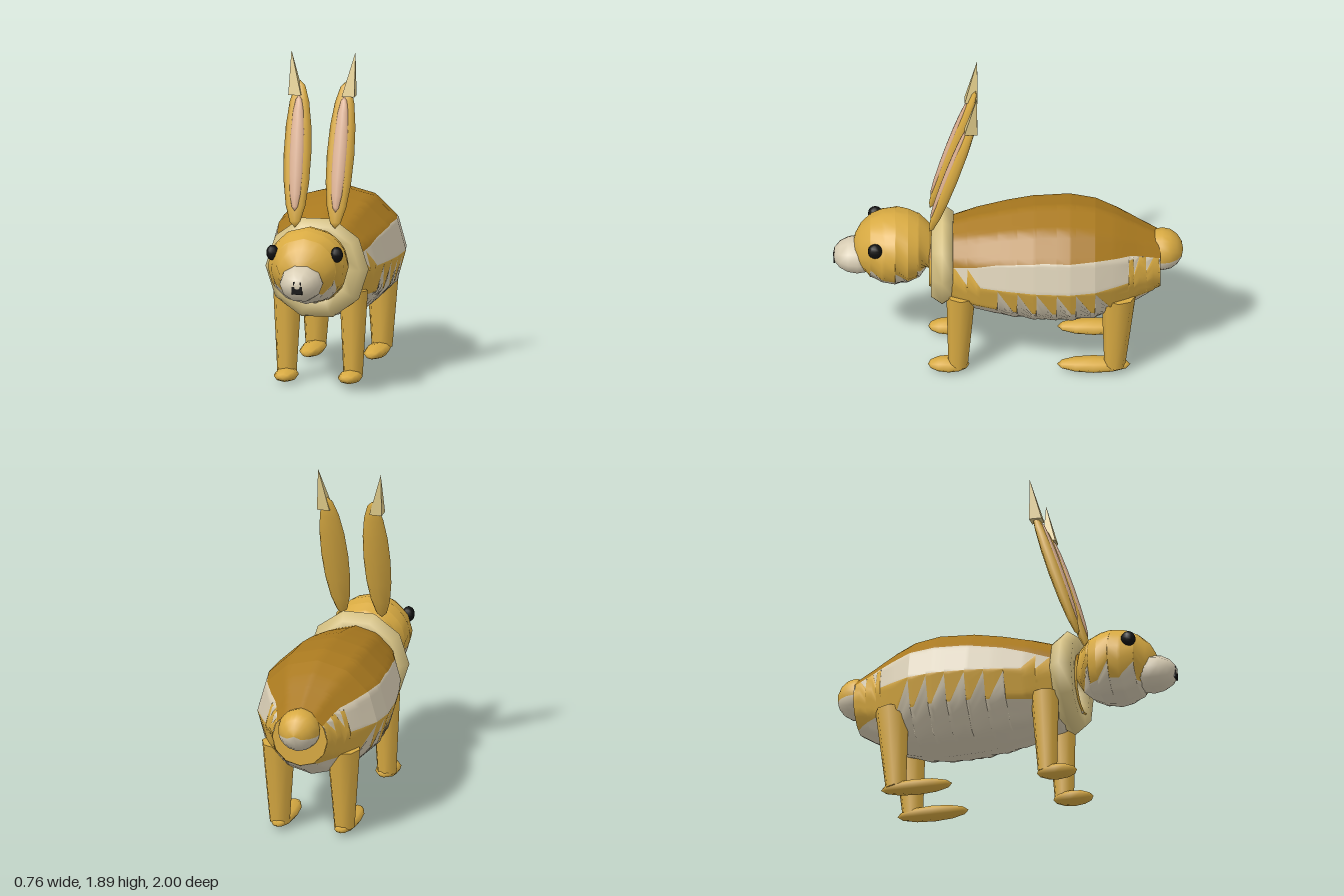
import * as THREE from 'three';

const mat = (name, color) => {
  const m = new THREE.MeshStandardMaterial({ color });
  m.name = name;
  return m;
};

// Linear lookup in rows sorted by z: [z, value, value, ...]
function sample(rows, z) {
  if (z <= rows[0][0]) return rows[0].slice(1);
  for (let i = 1; i < rows.length; i++) {
    if (z <= rows[i][0]) {
      const a = rows[i - 1], b = rows[i];
      const t = (z - a[0]) / (b[0] - a[0]);
      return a.slice(1).map((v, k) => v + (b[k + 1] - v) * t);
    }
  }
  return rows[rows.length - 1].slice(1);
}

// Twelve-sided skin along z. sections: [z, centreY, rx, ry].
// Each boundary curve [z, y] splits the skin into colour bands, top to bottom.
function skin(sections, boundaries, materials, div = 10) {
  const zs = [...new Set([sections, ...boundaries].flat().map(r => r[0]))]
    .filter(z => z >= sections[0][0] && z <= sections[sections.length - 1][0])
    .sort((a, b) => a - b);
  const half = materials.length * div, ring = half * 2, k = Math.PI / 6;
  const pos = [];
  for (const z of zs) {
    const [cy, rx, ry] = sample(sections, z);
    const stops = [0];
    for (const b of boundaries) {
      const c = THREE.MathUtils.clamp((sample(b, z)[0] - cy) / Math.max(ry, 1e-4), -1, 1);
      stops.push(Math.max(stops[stops.length - 1], Math.acos(c)));
    }
    stops.push(Math.PI);
    for (let j = 0; j < ring; j++) {
      const h = j <= half ? j : ring - j;
      const s = Math.min(Math.floor(h / div), materials.length - 1);
      const th = stops[s] + (stops[s + 1] - stops[s]) * (h / div - s);
      const f = Math.cos(k / 2) / Math.cos((th % k) - k / 2);
      pos.push(rx * f * Math.sin(th) * (j <= half ? 1 : -1), cy + ry * f * Math.cos(th), z);
    }
  }
  const geo = new THREE.BufferGeometry();
  const index = [];
  materials.forEach((_, m) => {
    const start = index.length;
    for (let i = 0; i < zs.length - 1; i++) {
      for (let j = 0; j < ring; j++) {
        const h = j < half ? j : ring - 1 - j;
        if (Math.floor(h / div) !== m) continue;
        const a = i * ring + j, c = i * ring + (j + 1) % ring;
        index.push(a, a + ring, c, a + ring, c + ring, c);
      }
    }
    geo.addGroup(start, index.length - start, m);
  });
  geo.setAttribute('position', new THREE.Float32BufferAttribute(pos, 3));
  geo.setIndex(index);
  geo.computeVertexNormals();
  return new THREE.Mesh(geo, materials);
}

// Sections of an ellipsoid
function ballSections(cy, cz, rx, ry, rz, n = 10) {
  return Array.from({ length: n + 1 }, (_, i) => {
    const a = Math.PI * i / n, s = Math.max(Math.sin(a), 0.001);
    return [cz - rz * Math.cos(a), cy, rx * s, ry * s];
  });
}

// Saw teeth as a boundary: low at z0, rising to the tip at z1, then dropping
const teeth = (list, low, tip) =>
  list.flatMap(([z0, z1]) => [[z0, low], [z1, tip], [z1 + 0.003, low]]);

export function createModel() {
  const group = new THREE.Group();
  const gold = mat('gold fur', 0xd8aa42);
  const brown = mat('brown back', 0xa9791f);
  const cream = mat('cream fur', 0xd8cdb4);
  const straw = mat('straw ruff', 0xdac585);
  const pink = mat('pink inner ear', 0xdbaf90);
  const black = mat('black', 0x111111);

  const add = (name, mesh, parent = group) => {
    mesh.name = name;
    parent.add(mesh);
    return mesh;
  };
  const ball = (name, m, p, s, parent = group, w = 10, h = 8) => {
    const mesh = add(name, new THREE.Mesh(new THREE.SphereGeometry(1, w, h), m), parent);
    mesh.position.set(...p);
    mesh.scale.set(...s);
    return mesh;
  };

  // Body with brown back, cream stripe, gold flank and cream belly
  const backEdge = [[-0.87, 0.75], [-0.7, 0.81], [-0.5, 0.84], [-0.2, 0.84], [0.05, 0.81], [0.32, 0.745]];
  const stripeEdge = [
    ...teeth([[-0.868, -0.865], [-0.83, -0.79], [-0.75, -0.72]], 0.79, 0.7).slice(1),
    [-0.692, 0.79], [-0.689, 0.66], [0.155, 0.66], [0.23, 0.76], [0.233, 0.66],
    [0.25, 0.68], [0.312, 0.76], [0.45, 0.76],
  ];
  const bellyEdge = [
    [-0.87, 0.5], [-0.7, 0.51],
    ...teeth([[-0.59, -0.5], [-0.475, -0.39], [-0.365, -0.28], [-0.255, -0.165], [-0.14, -0.055], [-0.03, 0.058]], 0.49, 0.65),
    [0.3, 0.49],
  ];
  add('body', skin([
    [-0.87, 0.658, 0.165, 0.162], [-0.75, 0.652, 0.22, 0.232], [-0.62, 0.652, 0.295, 0.302],
    [-0.5, 0.658, 0.355, 0.342], [-0.35, 0.66, 0.38, 0.36], [-0.15, 0.658, 0.37, 0.352],
    [0, 0.655, 0.345, 0.33], [0.18, 0.655, 0.305, 0.29], [0.32, 0.655, 0.25, 0.25],
    [0.45, 0.66, 0.17, 0.17],
  ], [backEdge, stripeEdge, bellyEdge], [brown, cream, gold, cream]));
  const rump = add('rump', new THREE.Mesh(new THREE.CircleGeometry(0.163, 12, Math.PI / 2), gold));
  rump.rotation.y = Math.PI;
  rump.position.set(0, 0.658, -0.87);

  // Tail, cream underneath
  add('tail', skin(ballSections(0.72, -0.88, 0.125, 0.125, 0.12, 8), [[[-1, 0.7], [-0.7, 0.7]]], [gold, cream], 6));

  // Neck ruff
  const ruff = add('ruff', new THREE.Mesh(new THREE.TorusGeometry(0.215, 0.085, 6, 10), straw));
  ruff.position.set(0, 0.68, 0.375);
  ruff.scale.z = 0.85;

  // Head with jagged cream cheeks
  const cheekEdge = [
    ...teeth([[0.445, 0.515], [0.57, 0.64], [0.70, 0.785]], 0.6, 0.69), [0.9, 0.62],
  ];
  add('head', skin(ballSections(0.742, 0.645, 0.235, 0.222, 0.24), [cheekEdge], [gold, cream]));
  const snout = ball('snout', cream, [0, 0.678, 0.86], [0.125, 0.14, 0.108], group, 10, 8);
  snout.rotation.x = Math.PI / 2;

  // Nose and nostril marks
  const nose = add('nose', new THREE.Mesh(new THREE.BoxGeometry(0.06, 0.045, 0.009), black));
  nose.position.set(0, 0.658, 0.992);
  for (const s of [-1, 1]) {
    const mark = add('nostrilMark', new THREE.Mesh(new THREE.BoxGeometry(0.008, 0.035, 0.009), black));
    mark.position.set(s * 0.02, 0.69, 0.99);
  }

  for (const s of [-1, 1]) {
    const side = s > 0 ? 'left' : 'right';
    ball(side + 'Eye', black, [s * 0.187, 0.83, 0.758], [0.036, 0.045, 0.043]);

    // Ear leaning back, with inner lining
    const ear = add(side + 'Ear', new THREE.Group());
    ear.position.set(s * 0.125, 1.325, 0.315);
    ear.rotation.set(-0.315, 0, -s * 0.02);
    ball('earShell', gold, [0, 0, 0], [0.08, 0.425, 0.04], ear, 8, 8);
    ball('innerEar', pink, [0, 0, 0.024], [0.046, 0.335, 0.022], ear, 8, 8);

    // Ear tip: a pyramid with its peak over the outer back corner
    const tipGeo = new THREE.ConeGeometry(0.052, 0.25, 4).rotateY(Math.PI / 4).toNonIndexed();
    const p = tipGeo.attributes.position;
    for (let i = 0; i < p.count; i++) {
      const t = (p.getY(i) + 0.125) / 0.25;
      p.setXYZ(i, p.getX(i) + s * 0.031 * t, p.getY(i), p.getZ(i) - 0.034 * t);
    }
    tipGeo.computeVertexNormals();
    add(side + 'EarTip', new THREE.Mesh(tipGeo, straw)).position.set(s * 0.155, 1.775, 0.211);

    // Legs: tapered, leaning slightly, with long flat paws
    const leg = (name, r0, r1, zTop, zBottom, pawZ, pawLength) => {
      const geo = new THREE.CylinderGeometry(r0, r1, 0.49, 8);
      const mesh = add(side + name, new THREE.Mesh(geo, gold));
      mesh.position.set(s * 0.192, 0.29, (zTop + zBottom) / 2);
      mesh.rotation.x = Math.atan2(zTop - zBottom, 0.49);
      const paw = ball(side + name + 'Paw', gold, [s * 0.186, 0.044, pawZ], [0.07, pawLength, 0.038], group, 8, 6);
      paw.rotation.x = Math.PI / 2;
    };
    leg('FrontLeg', 0.083, 0.056, 0.268, 0.284, 0.338, 0.118);
    leg('HindLeg', 0.098, 0.06, -0.632, -0.61, -0.49, 0.21);
  }
  return group;
}
